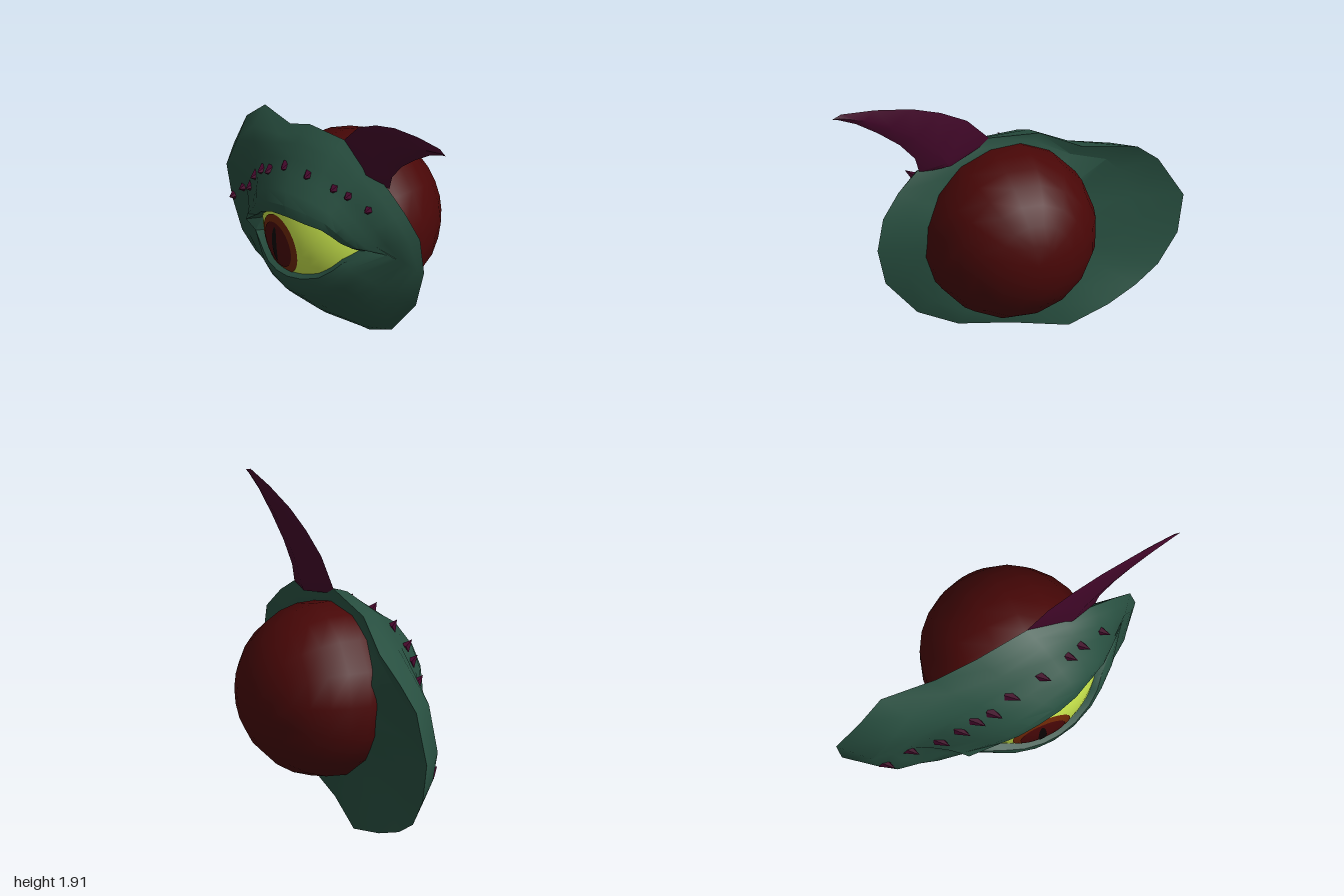
import * as THREE from 'three';
import { toCreasedNormals } from 'three/addons/utils/BufferGeometryUtils.js';

const V = (x, y, z) => new THREE.Vector3(x, y, z);
const C = V(0.07, 0.82, -0.04);                 // eyeball centre
const R = 0.575;                                // eyeball radius
const GAZE = V(-0.6, -0.08, 0.8).normalize();
const SHIELD = V(-0.56, 0, 0.83);               // direction the eyelid shield faces

function material(name, color, side = THREE.FrontSide) {
  const m = new THREE.MeshStandardMaterial({ color, side });
  m.name = name;
  return m;
}

// Skins a list of closed rings (counter-clockwise, inside to outside)
function loft(rings, crease) {
  const n = rings[0].length, pos = [], idx = [];
  rings.forEach(r => r.forEach(p => pos.push(p.x, p.y, p.z)));
  for (let k = 0; k < rings.length - 1; k++) for (let i = 0; i < n; i++) {
    const j = (i + 1) % n, a = k * n + i, b = a + n, c = (k + 1) * n + j, d = k * n + j;
    idx.push(a, b, c, a, c, d);
  }
  const g = new THREE.BufferGeometry();
  g.setAttribute('position', new THREE.Float32BufferAttribute(pos, 3));
  g.setIndex(idx);
  return toCreasedNormals(g, crease);
}

// Point at front position x, y lying at distance r in front of the eyeball centre
function onBall(x, y, r) {
  const dx = x - C.x, dy = y - C.y;
  return V(x, y, C.z + Math.sqrt(Math.max(0, r * r - dx * dx - dy * dy)));
}

// Outer rim of the eyelid shield
const RIM = [
  [0.775, 0.84, 0.5], [0.74, 1.07, 0.48], [0.62, 1.22, 0.44], [0.48, 1.34, 0.38], [0.27, 1.4, 0.25],
  [0.07, 1.46, 0.1], [-0.24, 1.4, -0.09], [-0.45, 1.25, -0.28], [-0.72, 1.19, -0.53], [-0.87, 1.04, -0.59],
  [-1, 0.74, -0.7], [-0.96, 0.47, -0.68], [-0.85, 0.26, -0.6], [-0.71, 0.15, -0.52], [-0.52, 0.07, -0.43],
  [-0.27, 0, -0.29], [0, 0.07, -0.02], [0.28, 0.135, 0.2], [0.5, 0.28, 0.37], [0.71, 0.57, 0.48],
].map(p => V(...p));

// How late each spoke of the shield flares from the ball out to the rim
const FLARE = [1.2, 1.2, 1.2, 1.2, 1.6, 2, 2.5, 2.5, 2.5, 2.5, 2.5, 2.5, 2.5, 2.5, 2.5, 2.5, 2.3, 2, 1.7, 1.3];

// Almond opening between the lids
const OPENING = [
  [0.33, 0.9], [0.27, 0.925], [0.2, 0.955], [0.14, 0.99], [0.07, 1.02],
  [-0.04, 1.03], [-0.17, 1.03], [-0.3, 1.0], [-0.4, 0.93], [-0.46, 0.85],
  [-0.5, 0.74], [-0.48, 0.65], [-0.42, 0.61], [-0.35, 0.6], [-0.26, 0.6],
  [-0.17, 0.61], [-0.06, 0.64], [0.06, 0.69], [0.15, 0.76], [0.22, 0.83],
];

function buildEyelids(mat) {
  const inner = OPENING.map(([x, y]) => onBall(x, y, 0.588));
  const tucked = inner.map(p => p.clone().sub(C).multiplyScalar(0.93).add(C));
  const lip = OPENING.map(([x, y], i) => {
    if (i === 0) return onBall(0.49, 0.94, 0.7);        // outer corner
    if (i === 10) return onBall(-0.62, 0.69, 0.71);     // inner corner
    if (i === 11) return onBall(-0.54, 0.645, 0.65);
    return onBall(-0.1 + (x + 0.1) * 1.06, 0.82 + (y - 0.82) * 1.06, 0.618);
  });
  // Dome rings sweep from the lip over the eyeball, then thicken towards the rim
  const dome = [
    [0.12, 0.018, 0], [0.26, 0.01, 0], [0.42, -0.01, 0], [0.58, -0.01, 0], [0.74, 0, 0.05], [0.87, 0, 0.09],
  ].map(([t, bump, thicken]) => lip.map((p, i) => {
    const a = p.clone().sub(C), b = RIM[i].clone().sub(C);
    const r = THREE.MathUtils.lerp(a.length(), b.length(), Math.pow(t, FLARE[i])) + (i === 10 ? 0 : bump);
    return a.normalize().lerp(b.normalize(), t).normalize().multiplyScalar(r).add(C)
      .addScaledVector(SHIELD, thicken * Math.max(0, -RIM[i].x));
  }));
  // Hollow back of the flange, closing on the eyeball
  const back = [[0.42, 0.09], [1, 0.04]].map(([t, depth]) => RIM.map(p => {
    const d = p.clone().sub(C);
    return d.setLength(THREE.MathUtils.lerp(d.length(), 0.5, t)).add(C)
      .addScaledVector(SHIELD, Math.max(-0.03, -depth * p.x));
  }));
  const mesh = new THREE.Mesh(loft([tucked, inner, lip, ...dome, RIM, ...back], 0.6), mat);
  mesh.name = 'eyelids';
  return mesh;
}

// Curved horn with a thin lens-like section
function buildHorn(mat) {
  const upper = [[0.12, 1.41], [0.07, 1.46], [0.2, 1.63], [0.36, 1.74], [0.53, 1.82], [0.75, 1.88], [0.95, 1.91], [0.99, 1.89]];
  const lower = [[0.42, 1.32], [0.485, 1.335], [0.51, 1.44], [0.6, 1.57], [0.73, 1.7], [0.86, 1.81], [0.97, 1.875], [1, 1.885]];
  const thick = [0.05, 0.05, 0.045, 0.038, 0.03, 0.02, 0.008, 0.002];
  const side = V(-0.54, 0, 0.84);
  const point = ([x, y]) => V(x, y, 0.1 + 0.645 * (x - 0.07));
  const rings = upper.map((p, i) => {
    const u = point(p), l = point(lower[i]);
    const mid = u.clone().lerp(l, 0.65);
    return [u, mid.clone().addScaledVector(side, thick[i]), l, mid.clone().addScaledVector(side, -thick[i])];
  });
  const mesh = new THREE.Mesh(loft(rings, 0.7), mat);
  mesh.name = 'horn';
  return mesh;
}

// Small thorns standing on the brow
function buildThorns(lids, mat) {
  const group = new THREE.Group();
  group.name = 'browThorns';
  const spots = [[-0.88, 0.55], [-0.77, 0.7], [-0.66, 0.82], [-0.585, 0.98], [-0.51, 1.08], [-0.43, 1.14],
    [-0.3, 1.23], [-0.1, 1.27], [0.11, 1.26], [0.22, 1.245], [0.38, 1.21]];
  const geo = new THREE.ConeGeometry(0.041, 0.11, 5).toNonIndexed();
  geo.computeVertexNormals();
  const ray = new THREE.Raycaster();
  lids.updateMatrixWorld(true);
  for (const [x, y] of spots) {
    ray.set(V(x, y, 3), V(0, 0, -1));
    const hit = ray.intersectObject(lids)[0];
    const base = hit ? hit.point : onBall(x, y, 0.63);
    const dir = V(x < -0.4 ? -0.1 : 0, 0.3, 1).normalize();
    const thorn = new THREE.Mesh(geo, mat);
    thorn.name = 'thorn';
    thorn.position.copy(base).addScaledVector(dir, 0.02);
    thorn.quaternion.setFromUnitVectors(V(0, 1, 0), dir);
    group.add(thorn);
  }
  return group;
}

// Part of the eyeball between two angles from the line of sight
function ballZone(name, mat, r, from, to, seg, rows) {
  const mesh = new THREE.Mesh(new THREE.SphereGeometry(r, seg, rows, 0, Math.PI * 2, from, to - from), mat);
  mesh.name = name;
  mesh.position.copy(C);
  mesh.quaternion.setFromUnitVectors(V(0, 1, 0), GAZE);
  return mesh;
}

// Slit pupil laid on the curve of the iris
function buildPupil(mat) {
  const geo = new THREE.RingGeometry(0, 1, 16, 5);
  const pos = geo.attributes.position, p = V(0, 0, 0);
  for (let i = 0; i < pos.count; i++) {
    p.copy(GAZE).multiplyScalar(R)
      .addScaledVector(V(0.8, 0, 0.6), pos.getX(i) * 0.028 - 0.01)
      .addScaledVector(V(0, 1, 0), pos.getY(i) * 0.13)
      .normalize().multiplyScalar(R + 0.011).add(C);
    pos.setXYZ(i, p.x, p.y, p.z);
  }
  geo.computeVertexNormals();
  const mesh = new THREE.Mesh(geo, mat);
  mesh.name = 'pupil';
  return mesh;
}

export function createModel() {
  const skin = material('green skin', 0x284f40);
  const hornMat = material('purple horn', 0x420729, THREE.DoubleSide);
  const red = material('dark red', 0x490707);
  const yellow = material('yellow sclera', 0xc6e24b);
  const orange = material('orange iris', 0x702806);
  const black = material('black pupil', 0x0c0303, THREE.DoubleSide);

  const model = new THREE.Group();
  model.name = 'hornedEye';
  const lids = buildEyelids(skin);
  model.add(
    lids,
    buildHorn(hornMat),
    buildThorns(lids, hornMat),
    ballZone('eyeballBack', red, R, 1.25, Math.PI, 16, 8),
    ballZone('sclera', yellow, R, 0, 1.25, 32, 12),
    ballZone('irisRing', orange, R + 0.004, 0, 0.355, 32, 6),
    ballZone('irisCentre', red, R + 0.008, 0, 0.27, 32, 6),
    buildPupil(black),
  );
  return model;
}
